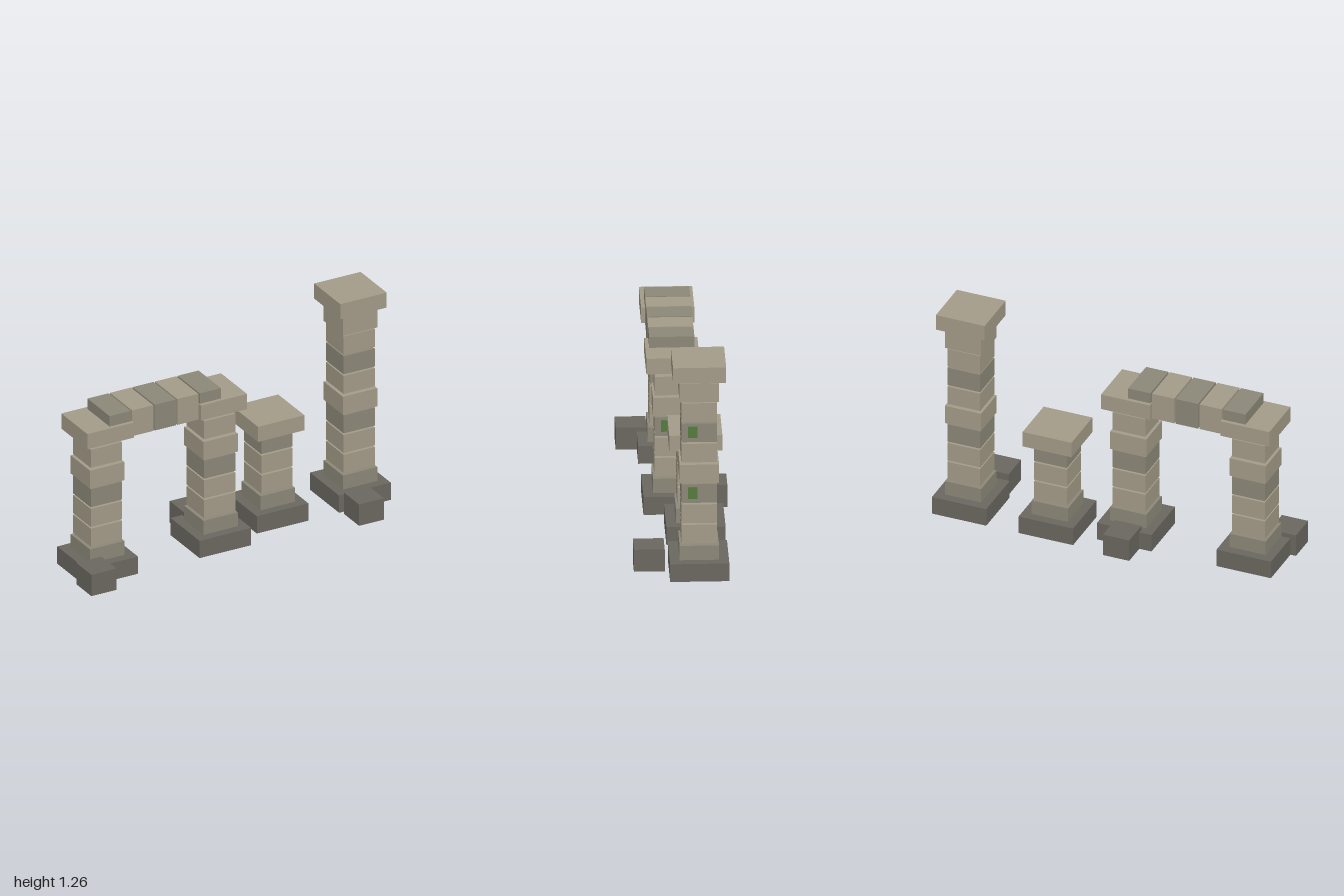
import * as THREE from 'three';

const material = (color) => new THREE.MeshStandardMaterial({ color, flatShading: true });
const tan = material(0xa39b88);
const weathered = material(0x8b8778);
const dark = material(0x6a675f);
const green = material(0x557a3f);

function block(parent, name, mat, size, pos) {
  const mesh = new THREE.Mesh(new THREE.BoxGeometry(...size), mat);
  mesh.name = name;
  mesh.position.set(...pos);
  parent.add(mesh);
  return mesh;
}

// Square pillar: plinth, stacked stone courses, moss patches and a capital
function pillar(name, x, z, courses, capY) {
  const group = new THREE.Group();
  group.name = name;
  group.position.set(x, 0, z);
  block(group, 'plinth', dark, [0.323, 0.105, 0.323], [0, 0.0525, 0]);
  for (let i = 0; i < courses; i++) {
    const w = i % 4 === 0 ? 0.215 : 0.195;
    const y = 0.135 + i * 0.12;
    block(group, 'course', i % 3 === 0 ? weathered : tan, [w, 0.11, w], [0, y, 0]);
    if (i > 0 && i % 3 === 0) {
      block(group, 'moss', green, [0.02, 0.066, 0.054], [0.097, y + 0.006, 0.036]);
    }
  }
  block(group, 'capital', tan, [0.29, 0.092, 0.29], [0, capY, 0]);
  return group;
}

export function createModel() {
  const model = new THREE.Group();
  model.name = 'ruinedColonnade';

  model.add(
    pillar('archPillarRight', -0.806, 0.012, 6, 0.872),
    pillar('archPillarLeft', -0.097, 0.012, 6, 0.872),
    pillar('brokenPillar', 0.322, -0.096, 4, 0.593),
    pillar('tallPillar', 0.837, -0.096, 9, 1.214),
  );

  // Lintel stones bridging the first two pillars
  const lintel = new THREE.Group();
  lintel.name = 'lintel';
  for (let i = 0; i < 5; i++) {
    block(lintel, 'lintelStone', i % 2 ? tan : weathered,
      [0.132, 0.157, 0.247], [-0.452 + (i - 2) * 0.141, 0.903, 0.012]);
  }
  model.add(lintel);

  // Fallen blocks beside the plinths
  for (const [x, z] of [[-0.922, 0.204], [-0.108, -0.204], [0.77, 0.173]]) {
    block(model, 'fallenBlock', dark, [0.156, 0.13, 0.168], [x, 0.065, z]);
  }
  return model;
}
